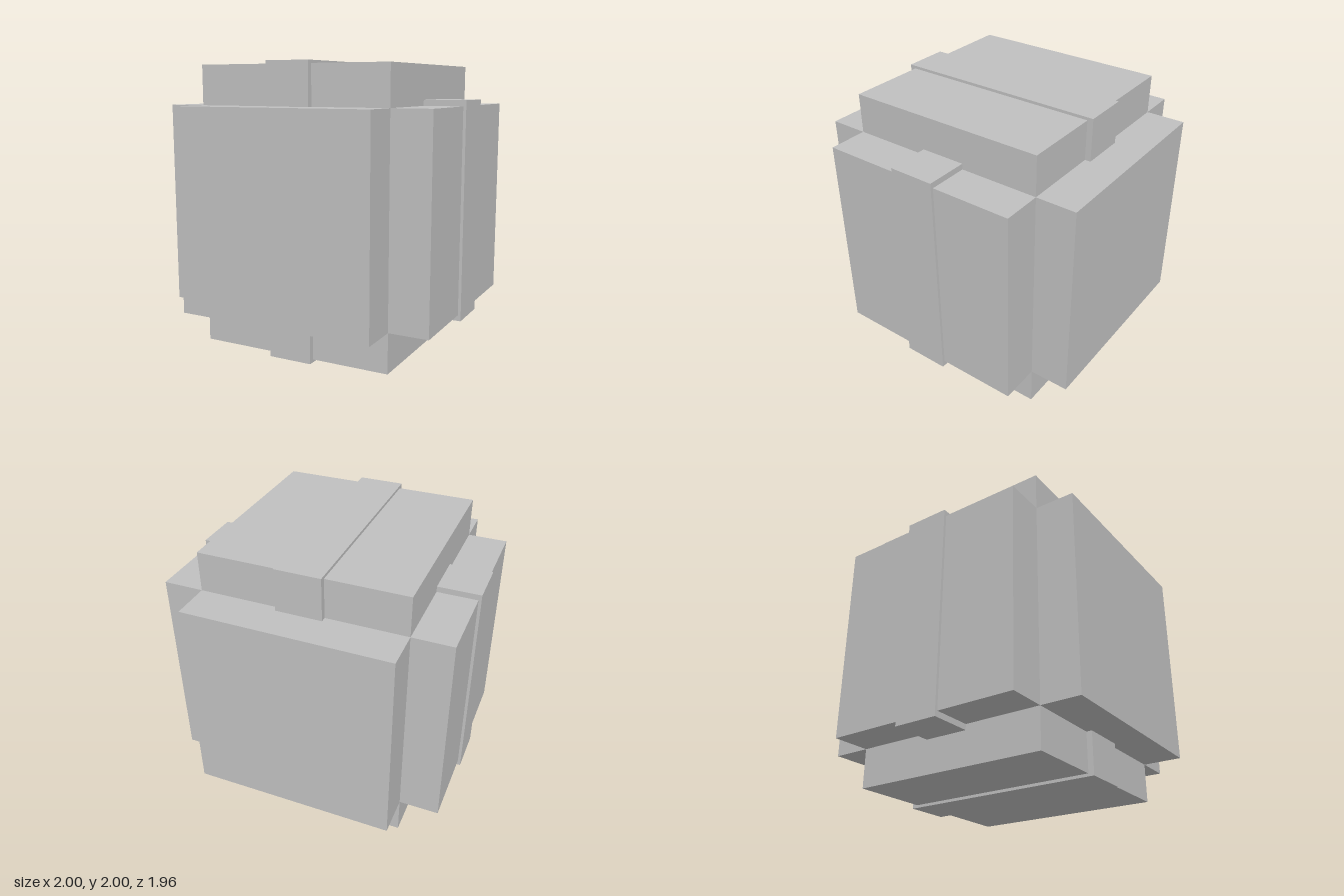
import * as THREE from 'three';

export function createModel() {
  const group = new THREE.Group();
  group.name = 'strappedBlock';
  const grey = new THREE.MeshStandardMaterial({ color: 0xc0c0c0 });
  grey.name = 'lightGrey';

  const CORE = 1.41;   // width of each block across its long axis
  const LENGTH = 1.96; // length of each block
  const STRAP = 0.315; // strap width
  const REACH = 1.49;  // strap depth, slightly wider than the blocks

  const addBox = (name, x, y, z) => {
    const mesh = new THREE.Mesh(new THREE.BoxGeometry(x, y, z), grey);
    mesh.name = name;
    mesh.position.y = 1;
    group.add(mesh);
  };

  // Three square blocks crossing at the centre
  addBox('sideBlock', LENGTH, CORE, CORE);
  addBox('uprightBlock', CORE, LENGTH, CORE);
  addBox('frontBackBlock', CORE, CORE, LENGTH);

  // Slabs running through the blocks, standing proud as raised straps
  addBox('topBottomStrap', STRAP, 2, REACH);
  addBox('sideStrap', 2, REACH, STRAP);

  return group;
}
